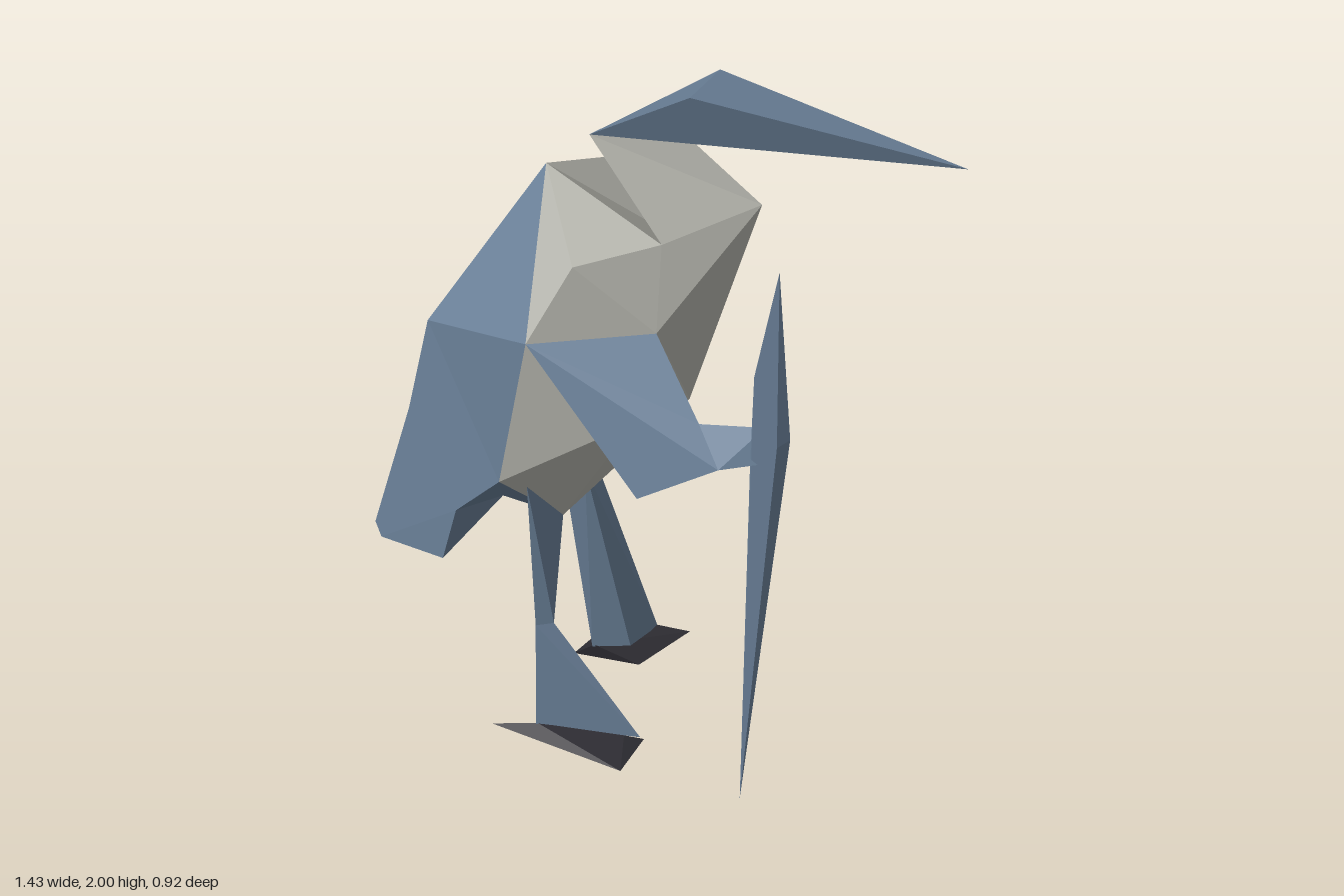
import * as THREE from 'three';
import { ConvexGeometry } from 'three/addons/geometries/ConvexGeometry.js';

const paint = (color) => new THREE.MeshStandardMaterial({ color, flatShading: true, side: THREE.DoubleSide });
const BLUE = paint(0x6a8098), PALE = paint(0xb8b8b0), DARK = paint(0x2c2b31);

// Landmark points shared by neighbouring parts
const P = {
  // chest and shoulders
  A: [-0.31, 1.65, -0.14], B: [-0.27, 1.53, 0.14], C: [-0.39, 1.32, 0.17], D: [-0.04, 1.54, 0.08],
  E: [-0.06, 1.32, 0.155], G: [0.22, 1.58, -0.01], H: [0.06, 1.36, -0.14], J: [-0.12, 1.1, 0.23],
  K: [-0.45, 0.84, 0.1], L: [-0.28, 0.65, 0], M: [0.04, 0.97, -0.03], R: [-0.21, 0.61, -0.23],
  // folded wing and back
  N: [-0.03, 1.46, -0.41], O: [0.03, 1.05, -0.4], Q: [-0.37, 0.7, -0.44], S: [-0.61, 1.2, -0.11],
  F: [-0.43, 1.12, -0.46], W: [-0.6, 0.87, -0.37], V: [-0.55, 0.69, 0.01],
  // tail and underside
  T: [-0.72, 0.48, -0.175], t: [-0.72, 0.4, -0.345], X: [-0.22, 0.74, -0.33],
  Y: [-0.63, 0.46, -0.22], Z: [-0.58, 0.52, -0.02], b: [-0.42, 0.63, -0.12],
  // head
  n: [-0.21, 1.8, -0.05], u: [0.03, 1.775, -0.065], h: [0.03, 2, 0.085], k: [0.12, 1.97, -0.065],
  p: [0.715, 1.85, 0.245],
};

// Triangles named by three landmark letters, turned to face away from a centre
function facets(name, list, centre, material) {
  const c = new THREE.Vector3(...centre), verts = [];
  for (const face of list.split(' ')) {
    const [v0, v1, v2] = [...face].map((l) => new THREE.Vector3(...P[l]));
    const normal = v1.clone().sub(v0).cross(v2.clone().sub(v0));
    const out = v0.clone().add(v1).add(v2).divideScalar(3).sub(c);
    const order = normal.dot(out) < 0 ? [v0, v2, v1] : [v0, v1, v2];
    for (const v of order) verts.push(v.x, v.y, v.z);
  }
  const geo = new THREE.BufferGeometry();
  geo.setAttribute('position', new THREE.Float32BufferAttribute(verts, 3));
  geo.computeVertexNormals();
  const mesh = new THREE.Mesh(geo, material);
  mesh.name = name;
  return mesh;
}

// Faceted solid wrapped around a few points
function hull(name, points, material) {
  const mesh = new THREE.Mesh(new ConvexGeometry(points.map((p) => new THREE.Vector3(...p))), material);
  mesh.name = name;
  return mesh;
}

export function createModel() {
  const bird = new THREE.Group();
  bird.name = 'bird';
  const core = [-0.25, 1.1, -0.12];

  // Body: pale breast, blue back with folded wing, tail
  bird.add(
    facets('breast', 'ABD ABC BCE BED DEG EGM EMJ EJC CJK KJL JLM MLR MRO MOH GHM HNA ADH', core, PALE),
    facets('back', 'HNO ANF FNO AFS ASC CSK SKV SVT SWT SFW WTt FOQ FQW WQt', core, BLUE),
    facets('tailUnderside', 'ORX OXQ KVb LKb LRb RXb VTZ VZb ZTY YTt ZYb Ytb btQ bQX', [-0.45, 0.95, -0.15], BLUE),
  );

  // Neck and head
  bird.add(
    facets('neck', 'nuG nGD nDH nHu uHG', [0.02, 1.62, -0.02], PALE),
    facets('crown', 'nhk hkp nhp', [0.12, 1.87, 0], BLUE),
    facets('lowerBeak', 'kup nku nup', [0.12, 1.87, 0], PALE),
  );

  // Raised left wing: upper part, wrist and long upright feather
  const elbow = [-0.13, 0.98, 0.385], wristTop = [0.03, 1.17, 0.34], wristFront = [0.07, 1.09, 0.43];
  bird.add(
    hull('raisedWing', [P.C, P.E, elbow, wristTop, wristFront], BLUE),
    hull('wingWrist', [wristTop, wristFront, [0.19, 1.2, 0.41], [0.19, 1.11, 0.44]], BLUE),
    hull('longFeather', [
      [0.222, 1.72, 0.457], [0.125, 0.05, 0.42], [0.25, 1.18, 0.44], [0.16, 1.38, 0.435],
      [0.18, 1.19, 0.4], [0.15, 1.1, 0.43], [0.215, 1.17, 0.457],
    ], BLUE),
  );

  // Left leg, bent at the knee
  const knee = [[-0.355, 0.36, 0.068], [-0.31, 0.37, 0.075], [-0.33, 0.36, 0.05]];
  bird.add(
    hull('leftThigh', [[-0.37, 0.7, 0.08], [-0.38, 0.82, 0.1], P.L, [-0.35, 0.67, 0], ...knee], BLUE),
    hull('leftShin', [...knee, [-0.355, 0.05, 0.07], [-0.1, 0.05, 0.145], [-0.24, 0.05, 0.06]], BLUE),
    hull('leftFoot', [
      [-0.46, 0.02, 0.015], [-0.16, 0.035, 0.26], [-0.09, 0.04, 0.14],
      [-0.35, 0.055, 0.07], [-0.14, 0.055, 0.14], [-0.25, 0.01, 0.08], [-0.17, 0.01, 0.15],
    ], DARK),
  );

  // Right leg, straight
  bird.add(
    hull('rightLeg', [
      [-0.265, 0.66, -0.25], [-0.205, 0.62, -0.235], P.X,
      [-0.185, 0.05, -0.24], [-0.015, 0.05, -0.31], [-0.09, 0.05, -0.235], [-0.13, 0.05, -0.33],
    ], BLUE),
    hull('rightFoot', [
      [-0.23, 0.025, -0.25], [-0.07, 0, -0.22], [0.065, 0.035, -0.3], [-0.1, 0.01, -0.34],
      [-0.18, 0.055, -0.24], [-0.02, 0.055, -0.31], [-0.13, 0.055, -0.33],
    ], DARK),
  );
  return bird;
}
